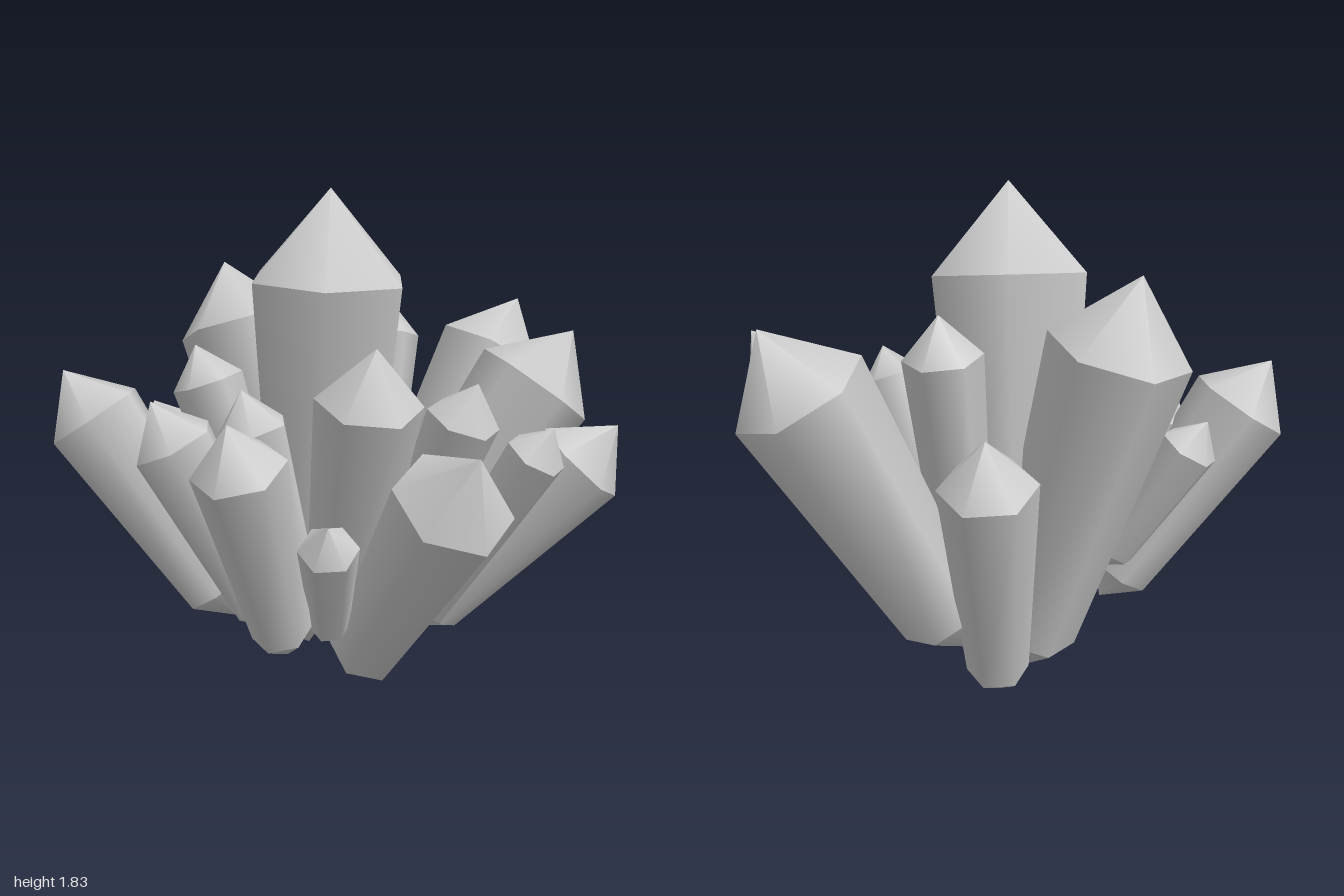
import * as THREE from 'three';

const UP = new THREE.Vector3(0, 1, 0);
const SIDES = 6;

// Each crystal: name, base centre, shoulder centre, shoulder radius, roll in degrees
const CRYSTALS = [
  ['mainCrystal', [0, 0.3, -0.25], [-0.07, 1.51, -0.08], 0.312, 85],
  ['backLargeCrystal', [-0.01, 0.22, -0.33], [-0.15, 1.32, -0.62], 0.25, -10],
  ['leftLargeCrystal', [0.32, 0.33, -0.25], [0.8, 1.2, -0.16], 0.24, 75],
  ['leftFrontLargeCrystal', [0.15, 0.32, 0], [0.63, 1.11, 0.29], 0.235, -14],
  ['frontCrystal', [0, 0.11, 0.06], [-0.08, 0.79, 0.68], 0.215, 0],
  ['leftFrontCrystal', [0.18, 0.3, 0.24], [0.55, 0.86, 0.62], 0.177, -10],
  ['rightBackCrystal', [-0.45, 0.34, -0.28], [-0.83, 1.01, -0.5], 0.19, 90],
  ['rightFrontCrystal', [-0.38, 0.25, 0.08], [-0.65, 0.9, 0.27], 0.165, 0],
  ['leftBackCrystal', [0.17, 0.14, -0.38], [0.34, 0.92, -0.58], 0.17, 0],
  ['innerFrontCrystal', [-0.1, 0.25, 0.03], [-0.2, 1.1, 0.37], 0.19, 0],
  ['rightCrystal', [-0.35, 0.3, -0.12], [-0.66, 0.93, -0.2], 0.16, 90],
  ['innerRightBackCrystal', [-0.22, 0.3, -0.2], [-0.45, 1.13, -0.33], 0.135, 0],
  ['innerRightCrystal', [-0.24, 0.25, 0], [-0.45, 0.99, 0], 0.135, 90],
  ['innerLeftBackCrystal', [0.18, 0.32, -0.2], [0.33, 1.29, -0.28], 0.14, 0],
  ['innerLeftFrontCrystal', [0.07, 0.3, 0.1], [0.13, 1.03, 0.47], 0.135, 0],
  ['smallFrontCrystal', [0.14, 0.3, 0.28], [0.27, 0.92, 0.69], 0.11, 0],
  ['smallRightFrontCrystal', [-0.2, 0.25, 0.12], [-0.36, 0.61, 0.36], 0.107, 0],
  ['smallBackCrystal', [-0.32, 0.5, -0.42], [-0.48, 0.93, -0.62], 0.11, 0],
];

function createCrystal([name, base, shoulder, radius, roll], material) {
  const start = new THREE.Vector3(...base);
  const axis = new THREE.Vector3(...shoulder).sub(start);
  const length = axis.length();
  const baseRadius = radius * 0.66;
  const pointHeight = radius * 1.07;

  const crystal = new THREE.Group();
  crystal.name = name;
  crystal.position.copy(start);
  crystal.quaternion.setFromUnitVectors(UP, axis.normalize());
  crystal.rotateY(THREE.MathUtils.degToRad(roll));

  // Open six-sided section standing at height y on the crystal's axis
  const addSection = (part, top, bottom, height, y) => {
    const geometry = new THREE.CylinderGeometry(top, bottom, height, SIDES, 1, true);
    const mesh = new THREE.Mesh(geometry, material);
    mesh.name = part;
    mesh.position.y = y + height / 2;
    crystal.add(mesh);
  };

  // Tapered shaft widest at the shoulder, pointed top, blunter point below
  addSection('shaft', radius, baseRadius, length, 0);
  addSection('point', 0, radius, pointHeight, length);
  addSection('root', baseRadius, 0, baseRadius, -baseRadius);
  return crystal;
}

export function createModel() {
  const model = new THREE.Group();
  model.name = 'crystalCluster';
  const material = new THREE.MeshStandardMaterial({ color: 0xcccccc });
  for (const spec of CRYSTALS) model.add(createCrystal(spec, material));

  // Rest the lowest point on the ground
  model.updateMatrixWorld(true);
  const lowest = new THREE.Box3().setFromObject(model, true).min.y;
  for (const crystal of model.children) crystal.position.y -= lowest;
  return model;
}
